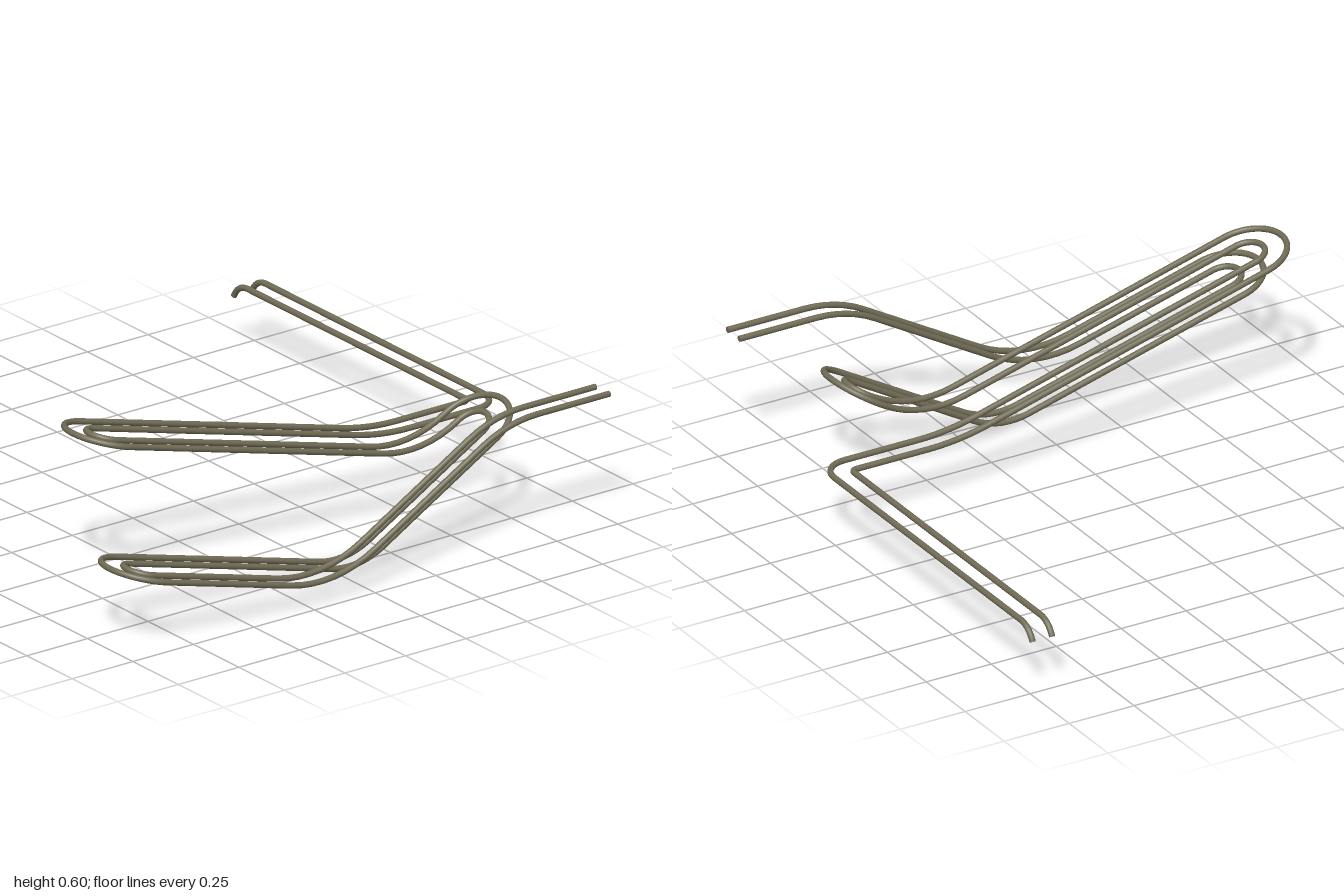
import * as THREE from 'three';

const RADIUS = 0.0105;
const V = (x, y, z) => new THREE.Vector3(x, y, z);

// Polyline with circular fillets; keeps exact points and tangents for the tube sweep
class BentPath extends THREE.Curve {
  constructor(corners) {
    super();
    this.pts = [];
    this.tans = [];
    const add = (p, t) => {
      const last = this.pts[this.pts.length - 1];
      if (last && last.distanceTo(p) < 1e-4) return;
      this.pts.push(p);
      this.tans.push(t);
    };
    const n = corners.length;
    corners.forEach(([p, r], i) => {
      if (i === 0 || i === n - 1) {
        const a = corners[Math.max(i - 1, 0)][0], b = corners[Math.min(i + 1, n - 1)][0];
        add(p, b.clone().sub(a).normalize());
        return;
      }
      const d0 = p.clone().sub(corners[i - 1][0]).normalize();
      const d1 = corners[i + 1][0].clone().sub(p).normalize();
      const angle = d0.angleTo(d1);
      const start = p.clone().addScaledVector(d0, -r * Math.tan(angle / 2));
      const inward = d1.clone().addScaledVector(d0, -d1.dot(d0)).normalize();
      const steps = Math.max(6, Math.ceil(angle / 0.11));
      for (let k = 0; k <= steps; k++) {
        const a = angle * k / steps;
        add(start.clone().addScaledVector(d0, r * Math.sin(a)).addScaledVector(inward, r * (1 - Math.cos(a))),
          d0.clone().multiplyScalar(Math.cos(a)).addScaledVector(inward, Math.sin(a)));
      }
    });
  }
  index(u) { return Math.round(u * (this.pts.length - 1)); }
  getPointAt(u, target = V()) { return target.copy(this.pts[this.index(u)]); }
  getTangentAt(u, target = V()) { return target.copy(this.tans[this.index(u)]); }
}

// Sloped planes that the runs lie in: height as a function of z
const S15 = Math.tan(Math.PI / 12), S30 = Math.tan(Math.PI / 6);
const FLAT = 0.235, END = 0.469;
const upper = z => 0.368 + S15 * z;
const lower = z => 0.016 + S15 * z;
const rear = z => -0.062 - S30 * z;

// One pipe: x positions of its four runs, z of its long side arm, radius of the arm's corner
function pipePath([x1, x2, x3, x4], zArm, cornerR) {
  const h1 = (x2 - x1) / 2, h2 = (x3 - x2) / 2, h3 = (x4 - x3) / 2;
  const c15 = Math.cos(Math.PI / 12), c30 = Math.cos(Math.PI / 6);
  // z of the three U-turn ends
  const zU1 = 0.692 + h1 * c15, zU2 = -0.662 - h2 * c30, zU3 = 0.847 + h3 * c15;
  // z where neighbouring slopes meet
  const zA = (FLAT - 0.368) / S15;
  const zB = -(0.368 + 0.062) / (S15 + S30);
  const zC = -(0.016 + 0.062) / (S15 + S30);
  const zD = (0.148 - 0.016) / (S15 + S30);
  const zE = (0.148 - END) / S30;
  return new BentPath([
    [V(-0.991, FLAT - 0.049, zArm), 0],
    [V(-0.966, FLAT, zArm), 0.08],
    [V(x1, FLAT, zArm), cornerR],
    [V(x1, FLAT, zA), 0.9],
    [V(x1, upper(zU1), zU1), h1],
    [V(x2, upper(zU1), zU1), h1],
    [V(x2, upper(zB), zB), 0.4],
    [V(x2, rear(zU2), zU2), h2],
    [V(x3, rear(zU2), zU2), h2],
    [V(x3, rear(zC), zC), 0.28],
    [V(x3, lower(zU3), zU3), h3],
    [V(x4, lower(zU3), zU3), h3],
    [V(x4, lower(zD), zD), 0.46],
    [V(x4, END, zE), 0.45],
    [V(x4, END, -0.973), 0],
  ]);
}

function makePipe(name, path, material) {
  const group = new THREE.Group();
  group.name = name;
  const tube = new THREE.Mesh(new THREE.TubeGeometry(path, path.pts.length - 1, RADIUS, 14, false), material);
  tube.name = name + 'Tube';
  group.add(tube);
  // closed ends
  for (const [u, sign] of [[0, -1], [1, 1]]) {
    const cap = new THREE.Mesh(new THREE.CircleGeometry(RADIUS, 14), material);
    cap.name = name + 'EndCap';
    cap.position.copy(path.getPointAt(u));
    cap.quaternion.setFromUnitVectors(V(0, 0, 1), path.getTangentAt(u).multiplyScalar(sign));
    group.add(cap);
  }
  return group;
}

export function createModel() {
  const model = new THREE.Group();
  model.name = 'bentPipePair';
  const metal = new THREE.MeshStandardMaterial({ color: 0x706b55 });
  metal.name = 'olive metal';
  model.add(
    makePipe('rearPipe', pipePath([0.374, 0.505, 0.784, 0.913], -0.985, 0.092), metal),
    makePipe('frontPipe', pipePath([0.299, 0.579, 0.709, 0.989], -0.91, 0.02), metal),
  );
  return model;
}
